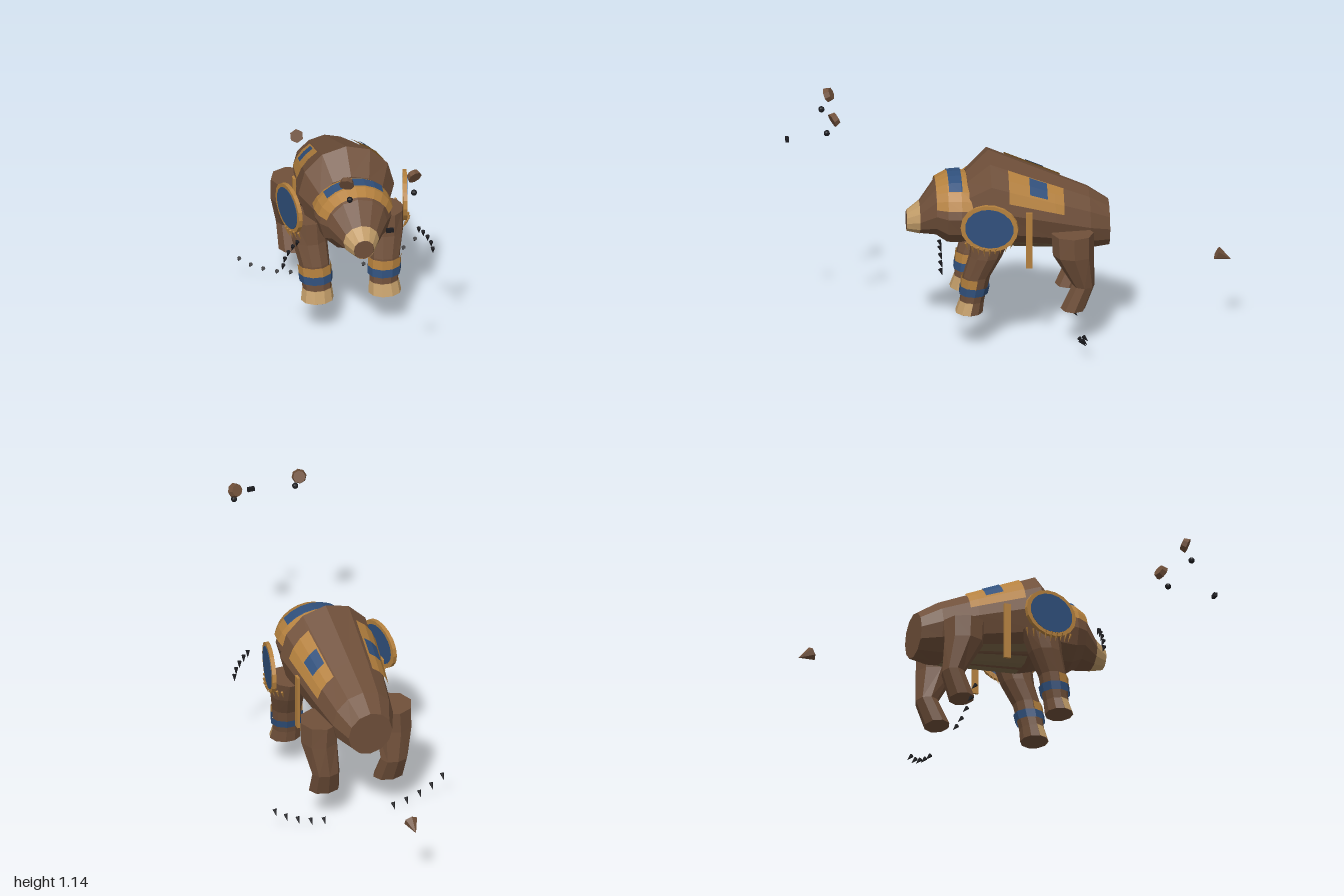
import * as THREE from 'three';

const BROWN = 0x70503a, GOLD = 0xb5813e, BLUE = 0x30507c, TAN = 0xc19c68, OLIVE = 0x7a6546, BLACK = 0x1c1c20;
const mat = (color) => new THREE.MeshStandardMaterial({ color, flatShading: true, side: THREE.DoubleSide });

function add(parent, name, geometry, color, pos = [0, 0, 0], rot = [0, 0, 0]) {
  const m = new THREE.Mesh(geometry, mat(color));
  m.name = name;
  m.position.set(...pos);
  m.rotation.set(...rot);
  parent.add(m);
  return m;
}

// Ring = [t, centreA, centreB, radiusA, radiusB]; place() turns (t, a, b) into a point.
const alongZ = (t, a, b) => [a, b, t];
const alongY = (t, a, b) => [a, t, b];

function loft(rings, place, { from = 0, to = 360, sides = 12, grow = 0, caps = true } = {}) {
  const pos = [], idx = [], w = sides + 1;
  for (const [t, ca, cb, ra, rb] of rings) {
    for (let j = 0; j <= sides; j++) {
      const q = THREE.MathUtils.degToRad(from + (to - from) * j / sides);
      pos.push(...place(t, ca + (ra + grow) * Math.cos(q), cb + (rb + grow) * Math.sin(q)));
    }
  }
  for (let i = 0; i < rings.length - 1; i++) {
    for (let j = 0; j < sides; j++) {
      const a = i * w + j;
      idx.push(a, a + 1, a + w + 1, a, a + w + 1, a + w);
    }
  }
  if (caps) {
    const last = (rings.length - 1) * w;
    for (let j = 1; j < sides - 1; j++) {
      idx.push(0, j + 1, j, last, last + j, last + j + 1);
    }
  }
  const g = new THREE.BufferGeometry();
  g.setAttribute('position', new THREE.Float32BufferAttribute(pos, 3));
  g.setIndex(idx);
  g.computeVertexNormals();
  return g;
}

// Section of a ring list between two positions, for bands lying on a surface
function section(rings, t0, t1) {
  const at = (t) => {
    const i = rings.findIndex((r, k) => k < rings.length - 1 && (t - r[0]) * (t - rings[k + 1][0]) <= 0);
    const a = rings[i], b = rings[i + 1], f = (t - a[0]) / (b[0] - a[0]);
    return a.map((v, k) => v + (b[k] - v) * f);
  };
  const inner = rings.filter((r) => (r[0] - t0) * (r[0] - t1) < -1e-6);
  return [at(t0), ...inner, at(t1)];
}

const band = (rings, place, t0, t1, from, to, sides, grow) =>
  loft(section(rings, t0, t1), place, { from, to, sides, grow, caps: false });

export function createModel() {
  const root = new THREE.Group();
  root.name = 'armouredBear';

  // Body with a high shoulder hump
  const body = [
    [-0.45, 0, 0.525, 0.105, 0.105], [-0.36, 0, 0.55, 0.145, 0.14], [-0.2, 0, 0.592, 0.175, 0.167],
    [0.09, 0, 0.665, 0.22, 0.22], [0.19, 0, 0.63, 0.165, 0.155],
  ];
  add(root, 'body', loft(body, alongZ), BROWN);
  add(root, 'belly', band(body, alongZ, -0.32, 0.06, 225, 315, 3, 0.004), OLIVE);

  // Head, muzzle and brow armour
  const head = [
    [0.15, 0, 0.615, 0.165, 0.14], [0.22, 0, 0.615, 0.172, 0.158], [0.28, 0, 0.615, 0.165, 0.155],
    [0.33, 0, 0.62, 0.135, 0.125], [0.4, 0, 0.573, 0.08, 0.073], [0.457, 0, 0.557, 0.045, 0.046],
  ];
  add(root, 'head', loft(head, alongZ), BROWN);
  add(root, 'muzzleTip', band(head, alongZ, 0.4, 0.457, 0, 360, 12, 0.002), TAN);
  add(root, 'browArmour', band(head, alongZ, 0.16, 0.33, 15, 165, 10, 0.012), GOLD);
  add(root, 'browStripe', band(head, alongZ, 0.215, 0.275, 45, 135, 6, 0.017), BLUE);

  const frontLeg = [
    [0.55, 0.18, 0.09, 0.08, 0.09], [0.45, 0.175, 0.115, 0.08, 0.075], [0.35, 0.162, 0.155, 0.07, 0.062],
    [0.23, 0.153, 0.175, 0.066, 0.055], [0.175, 0.155, 0.188, 0.073, 0.062],
  ];
  const hindLeg = [
    [0.54, 0.175, -0.275, 0.09, 0.095], [0.44, 0.18, -0.278, 0.085, 0.092], [0.29, 0.165, -0.325, 0.065, 0.05],
    [0.175, 0.155, -0.278, 0.073, 0.056],
  ];

  for (const s of [1, -1]) {
    const side = new THREE.Group();
    side.name = s > 0 ? 'leftSide' : 'rightSide';
    side.scale.x = s;
    root.add(side);

    // Legs, cuffs and paws
    add(side, 'frontLeg', loft(frontLeg, alongY, { sides: 10 }), BROWN);
    add(side, 'hindLeg', loft(hindLeg, alongY, { sides: 8 }), BROWN);
    add(side, 'goldCuff', band(frontLeg, alongY, 0.345, 0.3, 0, 180, 5, 0.007), GOLD);
    add(side, 'blueCuff', band(frontLeg, alongY, 0.303, 0.265, 0, 360, 10, 0.009), BLUE);
    add(side, 'paw', band(frontLeg, alongY, 0.232, 0.176, 0, 180, 5, 0.002), TAN);

    // Saddle plates and hanging strap
    add(side, 'saddlePlate', band(body, alongZ, -0.24, 0.01, 15, 58, 3, 0.009), GOLD);
    add(side, 'saddlePanel', band(body, alongZ, -0.165, -0.085, 32, 56, 2, 0.014), BLUE);
    add(side, 'strap', new THREE.BoxGeometry(0.012, 0.265, 0.03), GOLD, [0.203, 0.522, -0.078]);

    // Round shoulder shield, turned slightly forward
    const shield = new THREE.Group();
    shield.name = 'shoulderShield';
    shield.position.set(0.265, 0.61, 0.105);
    shield.rotation.y = Math.PI / 2 - 0.2;
    side.add(shield);
    const rim = new THREE.Shape().absarc(0, 0, 0.13, 0, Math.PI * 2);
    rim.holes.push(new THREE.Path().absarc(0, 0, 0.108, 0, Math.PI * 2, true));
    const rimGeo = new THREE.ExtrudeGeometry(rim, { depth: 0.018, bevelEnabled: false, curveSegments: 9 });
    rimGeo.scale(1, 0.84, 1);
    add(shield, 'shieldRim', rimGeo, GOLD, [0, 0, -0.009]);
    const face = new THREE.CylinderGeometry(0.11, 0.11, 0.018, 18).rotateX(Math.PI / 2).scale(1, 0.84, 1);
    add(shield, 'shieldFace', face, BLUE, [0, 0, 0.002]);

    // Fringe below the shield
    for (let i = 0; i < 9; i++) {
      const f = i / 8;
      const x = 0.24 + 0.035 * Math.sin(f * Math.PI);
      add(side, 'fringeSpike', new THREE.ConeGeometry(0.006, 0.045, 4), GOLD,
        [x, 0.515 - 0.02 * Math.sin(f * Math.PI), 0.005 + 0.2 * f], [Math.PI + (f - 0.5) * 0.5, 0, 0.3]);
    }

    // Claws in two arcs
    const claw = new THREE.ConeGeometry(0.01, 0.034, 6).rotateX(Math.PI);
    const frontArc = [[0.28, 0.55], [0.3, 0.53], [0.32, 0.503], [0.336, 0.472], [0.344, 0.438]];
    const hindArc = [[0.167, 0.02], [0.23, 0.032], [0.293, 0.054], [0.35, 0.082], [0.403, 0.12]];
    for (const [x, y] of frontArc) add(side, 'frontClaw', claw, BLACK, [x, y, 0.328], [0.3, 0, 0.1]);
    for (const [x, y] of hindArc) add(side, 'hindClaw', claw, BLACK, [x, y, -0.315], [0.7, 0, 0]);

    // Ear and eye
    const ear = new THREE.CylinderGeometry(0.034, 0.028, 0.026, 8).rotateX(Math.PI / 2);
    add(side, 'ear', ear, BROWN, [0.153, 1.113, 0.792], [0.45, 0.3, 0]);
    add(side, 'eye', new THREE.SphereGeometry(0.014, 10, 8), BLACK, [0.147, 1.045, 0.826]);
  }

  // Nose and tail
  add(root, 'nose', new THREE.BoxGeometry(0.033, 0.018, 0.015), BLACK, [0, 0.963, 0.992]);
  const tail = add(root, 'tail', new THREE.ConeGeometry(0.032, 0.07, 6), BROWN, [0, 0.34, -0.968]);
  tail.quaternion.setFromUnitVectors(new THREE.Vector3(0, 1, 0), new THREE.Vector3(0, -0.43, -0.9).normalize());

  return root;
}
